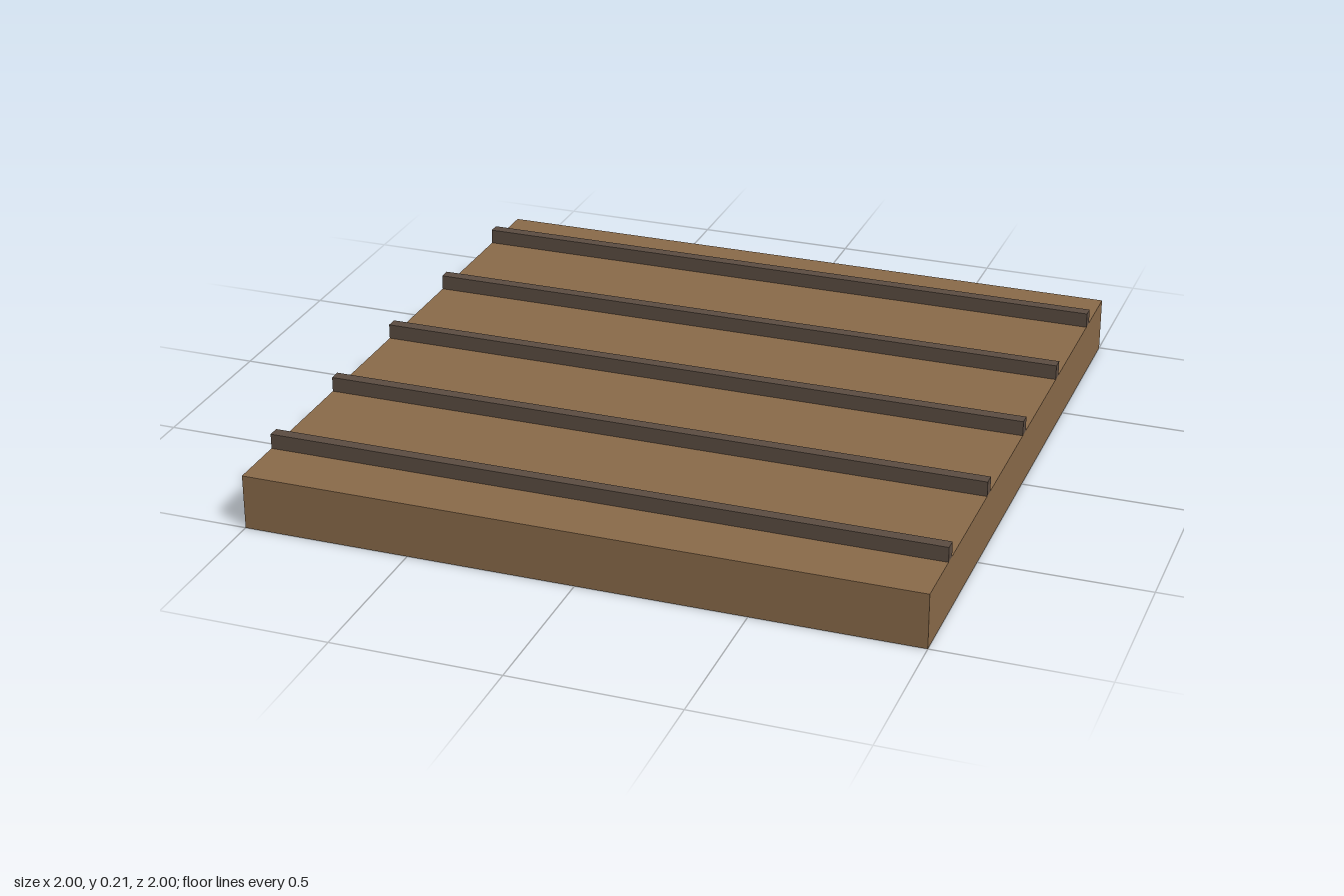
import * as THREE from 'three';

const SIZE = 2;
const SLAB_HEIGHT = 0.165;
const SLAT_HEIGHT = 0.045;
const SLAT_WIDTH = 0.035;
const SLAT_COUNT = 5;
const SLAT_SPACING = 0.4;

export function createModel() {
  const model = new THREE.Group();
  model.name = 'slattedPlatform';

  const wood = new THREE.MeshStandardMaterial({ color: 0x8b6b4a });
  wood.name = 'wood brown';
  const darkWood = new THREE.MeshStandardMaterial({ color: 0x5c4d42 });
  darkWood.name = 'dark brown';

  // Square slab
  const slab = new THREE.Mesh(new THREE.BoxGeometry(SIZE, SLAB_HEIGHT, SIZE), wood);
  slab.name = 'slab';
  slab.position.y = SLAB_HEIGHT / 2;
  model.add(slab);

  // Raised slats running across the full width
  const slats = new THREE.Group();
  slats.name = 'slats';
  const slatGeometry = new THREE.BoxGeometry(SIZE, SLAT_HEIGHT, SLAT_WIDTH);
  for (let i = 0; i < SLAT_COUNT; i++) {
    const slat = new THREE.Mesh(slatGeometry, darkWood);
    slat.name = `slat${i + 1}`;
    slat.position.set(0, SLAB_HEIGHT + SLAT_HEIGHT / 2, (i - (SLAT_COUNT - 1) / 2) * SLAT_SPACING);
    slats.add(slat);
  }
  model.add(slats);

  return model;
}
